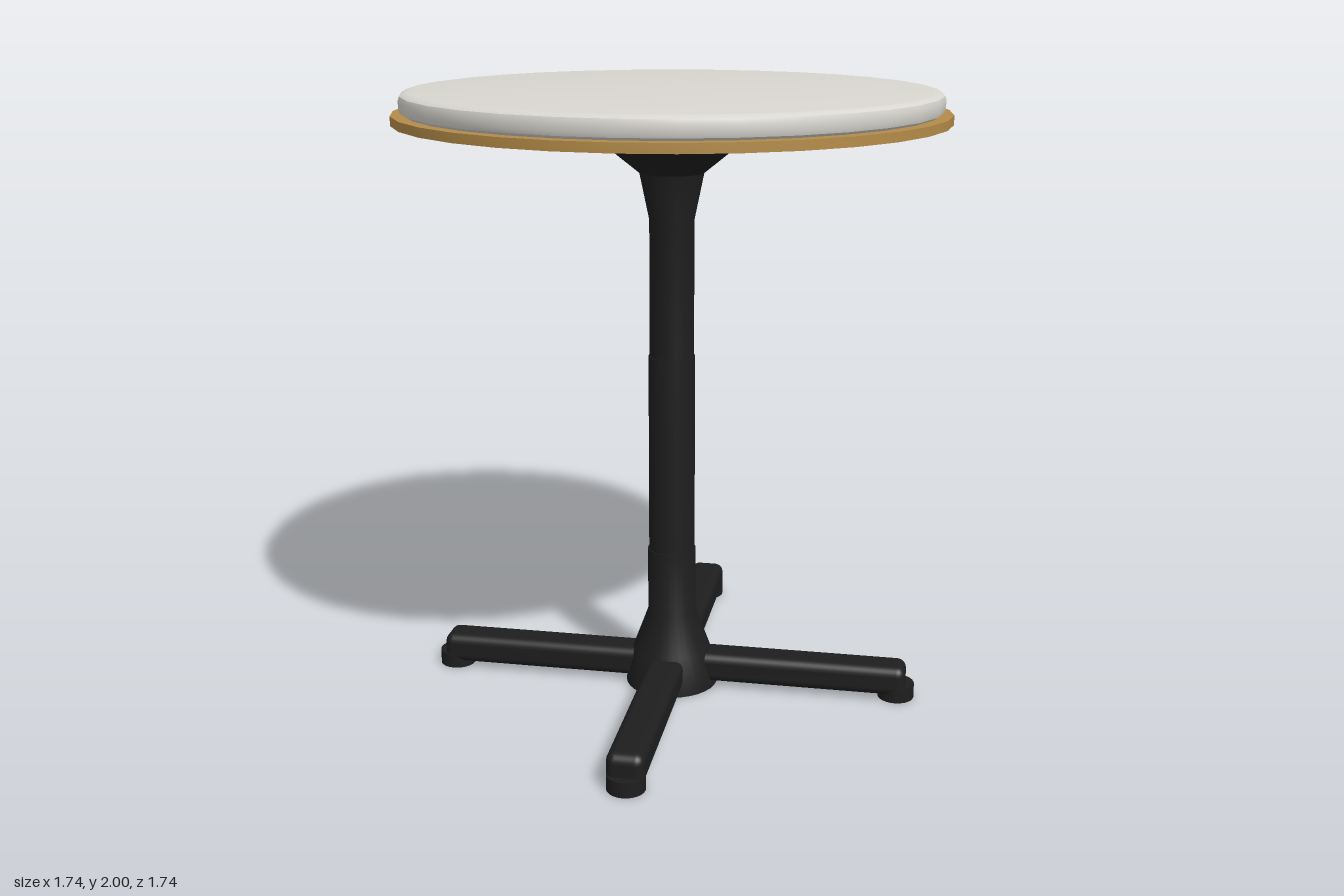
import * as THREE from 'three';
import { toCreasedNormals } from 'three/addons/utils/BufferGeometryUtils.js';
import { RoundedBoxGeometry } from 'three/addons/geometries/RoundedBoxGeometry.js';

const material = (name, color) => {
  const m = new THREE.MeshStandardMaterial({ color });
  m.name = name;
  return m;
};

export function createModel() {
  const group = new THREE.Group();
  group.name = 'pedestalStool';
  const black = material('blackMetal', 0x1e1e1e);
  const wood = material('wood', 0xb48c49);
  const fabric = material('paleCushion', 0xd8d6cf);

  const add = (name, geometry, mat, parent = group) => {
    const mesh = new THREE.Mesh(geometry, mat);
    mesh.name = name;
    parent.add(mesh);
    return mesh;
  };
  // Turned part from [radius, height] pairs, listed bottom to top
  const turned = (name, profile, mat, sides = 32) => {
    const points = profile.map(([r, y]) => new THREE.Vector2(r, y));
    const lathe = new THREE.LatheGeometry(points, sides);
    return add(name, toCreasedNormals(lathe, 0.55), mat);
  };

  // Seat: padded disc on a wooden board
  turned('cushion', [
    [0, 1.932], [0.825, 1.932], [0.838, 1.94], [0.842, 1.952],
    [0.842, 1.978], [0.838, 1.99], [0.825, 1.998], [0.81, 2], [0, 2],
  ], fabric);
  turned('seatBoard', [[0, 1.903], [0.868, 1.903], [0.868, 1.932], [0, 1.932]], wood);

  // Pedestal: flared hub, telescoping column and mounting cone
  turned('hub', [
    [0, 0], [0.155, 0], [0.152, 0.03], [0.13, 0.125],
    [0.08, 0.26], [0.08, 0.48], [0, 0.48],
  ], black);
  turned('lowerColumn', [[0.076, 0.4], [0.076, 1.145], [0, 1.145]], black);
  turned('upperColumn', [[0.072, 1.1], [0.072, 1.59], [0.104, 1.745], [0, 1.745]], black);
  turned('mountingCone', [[0, 1.74], [0.104, 1.74], [0.233, 1.845], [0, 1.87]], black);

  // Four diagonal legs, each with a round foot under its tip
  for (let i = 0; i < 4; i++) {
    const leg = new THREE.Group();
    leg.name = `leg${i + 1}`;
    leg.rotation.y = Math.PI / 4 + (i * Math.PI) / 2;
    add('legBar', new RoundedBoxGeometry(0.73, 0.1, 0.12, 3, 0.03), black, leg)
      .position.set(0.43, 0.07, 0);
    add('foot', new THREE.CylinderGeometry(0.06, 0.06, 0.05, 24), black, leg)
      .position.set(0.764, 0.025, 0);
    group.add(leg);
  }
  return group;
}
